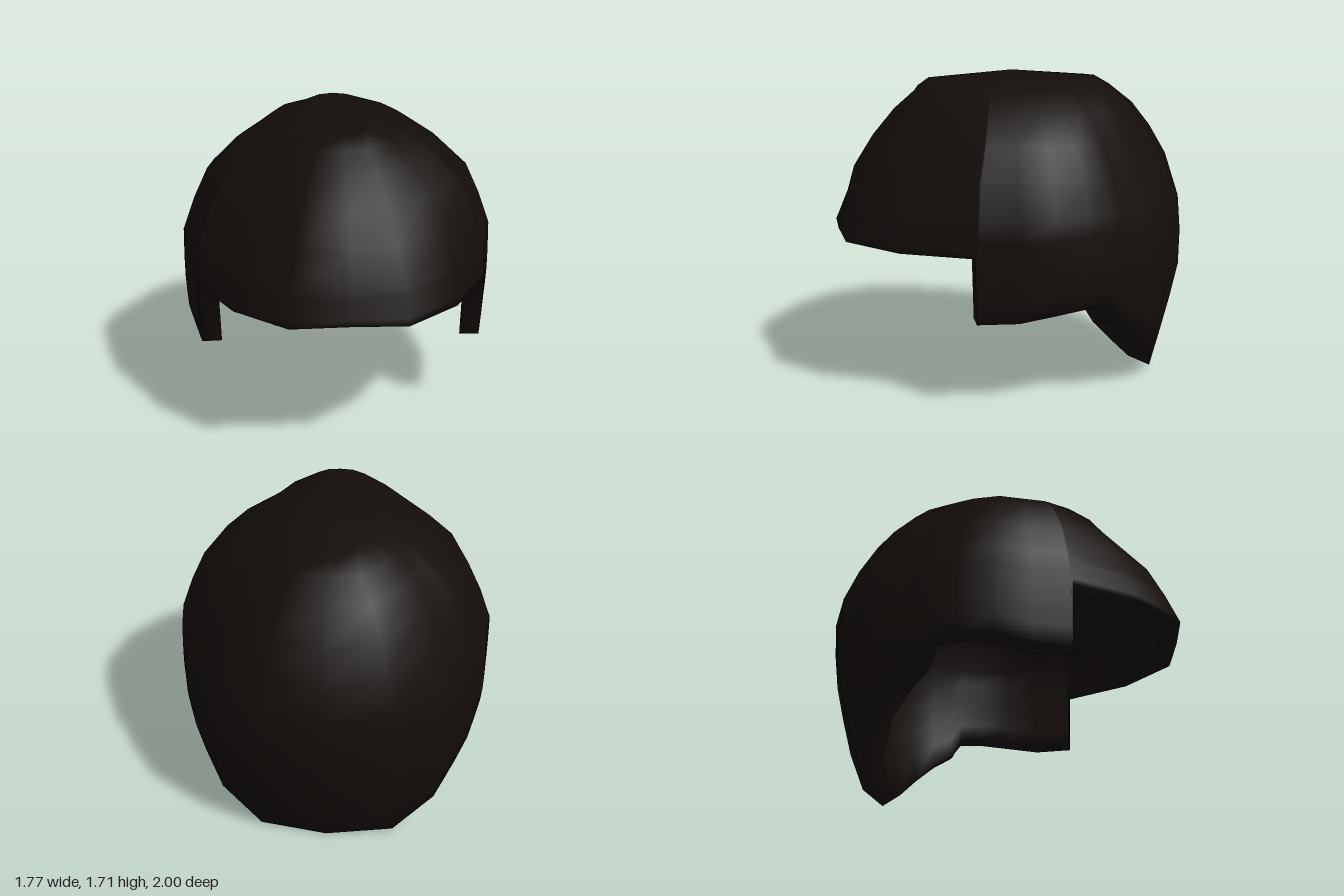
import * as THREE from 'three';
import { mergeVertices } from 'three/addons/utils/BufferGeometryUtils.js';

// Levels from crown to nape: height, half width, reach to the front,
// reach to the back, fullness of the temples, fullness of the back corners
const LEVELS = [
  [1.71, 0, 0, 0, 1, 1],
  [1.67, 0.2, 0.47, 0.49, 1, 1],
  [1.62, 0.4, 0.54, 0.58, 0.97, 1],
  [1.51, 0.58, 0.67, 0.725, 0.88, 0.92],
  [1.37, 0.73, 0.79, 0.84, 0.88, 0.88],
  [1.2, 0.81, 0.9, 0.945, 0.93, 0.88],
  [1.01, 0.88, 0.955, 1, 0.97, 0.92],
  [0.84, 0.885, 1, 0.99, 1, 0.96],
  [0.68, 0.885, 1, 0.98, 1, 1],
  [0.34, 0.86, 1, 0.9, 1, 1],
  [0.2, 0.845, 1, 0.86, 1, 1],
  [0, 0.93, 1, 0.78, 1, 1],
];

// Left half of the outline, front to back: x, z, outer hem height, inner hem height
const HALF = [
  [0, 1, 0.85, 0.8],
  [0.3, 0.985, 0.84, 0.8],
  [0.58, 0.74, 0.83, 0.82],
  [0.785, 0.39, 0.83, 0.83],
  [0.79, 0.38, 0.48, 0.48], // front edge of the sideburn
  [0.84, 0.17, 0.485, 0.48],
  [0.885, 0, 0.525, 0.52],
  [0.865, -0.2, 0.545, 0.545],
  [0.83, -0.34, 0.535, 0.535], // corner where the nape begins
  [0.8, -0.42, 0.43, 0.41],
  [0.73, -0.56, 0.34, 0.33],
  [0.63, -0.745, 0.2, 0.21],
  [0.36, -0.93, 0.015, 0.06],
  [0, -1, 0, 0.03],
];

const FIXED = 7; // levels shared by every column, above the hem
const LOWER = 5; // rows spread between the last shared level and the hem

// Interpolated level values at a height
function levelAt(y) {
  let i = 0;
  while (i < LEVELS.length - 2 && y < LEVELS[i + 1][0]) i++;
  const a = LEVELS[i], b = LEVELS[i + 1];
  const t = (a[0] - y) / (a[0] - b[0]);
  return a.map((v, k) => THREE.MathUtils.lerp(v, b[k], t));
}

// One strand of points from the crown down to the hem
function meridian([x, z, outerHem, innerHem], inner) {
  const base = LEVELS[FIXED - 1][0];
  const hem = inner ? innerHem : outerHem;
  const side = Math.abs(x) / 0.885;
  // How strongly the temple or back corner fullness acts on this strand
  const corner = Math.min(1, z > 0 ? 3 * side * z ** 4 : 4 * side ** 2 * z ** 2);
  const heights = LEVELS.slice(0, FIXED).map((l) => l[0]);
  for (let k = 1; k <= LOWER; k++) heights.push(THREE.MathUtils.lerp(base, hem, k / LOWER));
  return heights.map((y) => {
    const [, width, front, back, temple, backCorner] = levelAt(y);
    const fullness = THREE.MathUtils.lerp(1, z > 0 ? temple : backCorner, corner);
    const px = (x / 0.885) * width * fullness;
    const pz = z * (z > 0 ? front : back) * fullness;
    if (!inner) return [px, y, pz];
    // The lining sits inside, with a lower crown and a thicker nape
    const lowered = y > base ? base + (y - base) * 0.87 : y;
    return [px * 0.86, lowered, pz * (z > 0 ? 1 - 0.12 * z * z : 1 + 0.18 * z)];
  });
}

// Closed shell: outer side down to the hem, then the lining back up
function shellGeometry() {
  const mirrored = HALF.slice(1, -1).reverse().map(([x, ...rest]) => [-x, ...rest]);
  const columns = [...HALF, ...mirrored].map((c) => [
    ...meridian(c, false),
    ...meridian(c, true).reverse(),
  ]);
  const rows = columns[0].length;
  const index = [];
  for (let j = 0; j < columns.length; j++) {
    const n = (j + 1) % columns.length;
    for (let i = 0; i < rows - 1; i++) {
      const a = j * rows + i, b = n * rows + i;
      // The first and last rows meet in a single point
      if (i > 0) index.push(a, a + 1, b);
      if (i < rows - 2) index.push(b, a + 1, b + 1);
    }
  }
  const geometry = new THREE.BufferGeometry();
  geometry.setAttribute('position', new THREE.Float32BufferAttribute(columns.flat(2), 3));
  geometry.setIndex(index);
  const welded = mergeVertices(geometry, 1e-4);
  welded.computeVertexNormals();
  return welded;
}

export function createModel() {
  const model = new THREE.Group();
  model.name = 'hairpiece';
  const material = new THREE.MeshStandardMaterial({ color: 0x130d0a });
  const hair = new THREE.Mesh(shellGeometry(), material);
  hair.name = 'hair';
  model.add(hair);
  return model;
}
